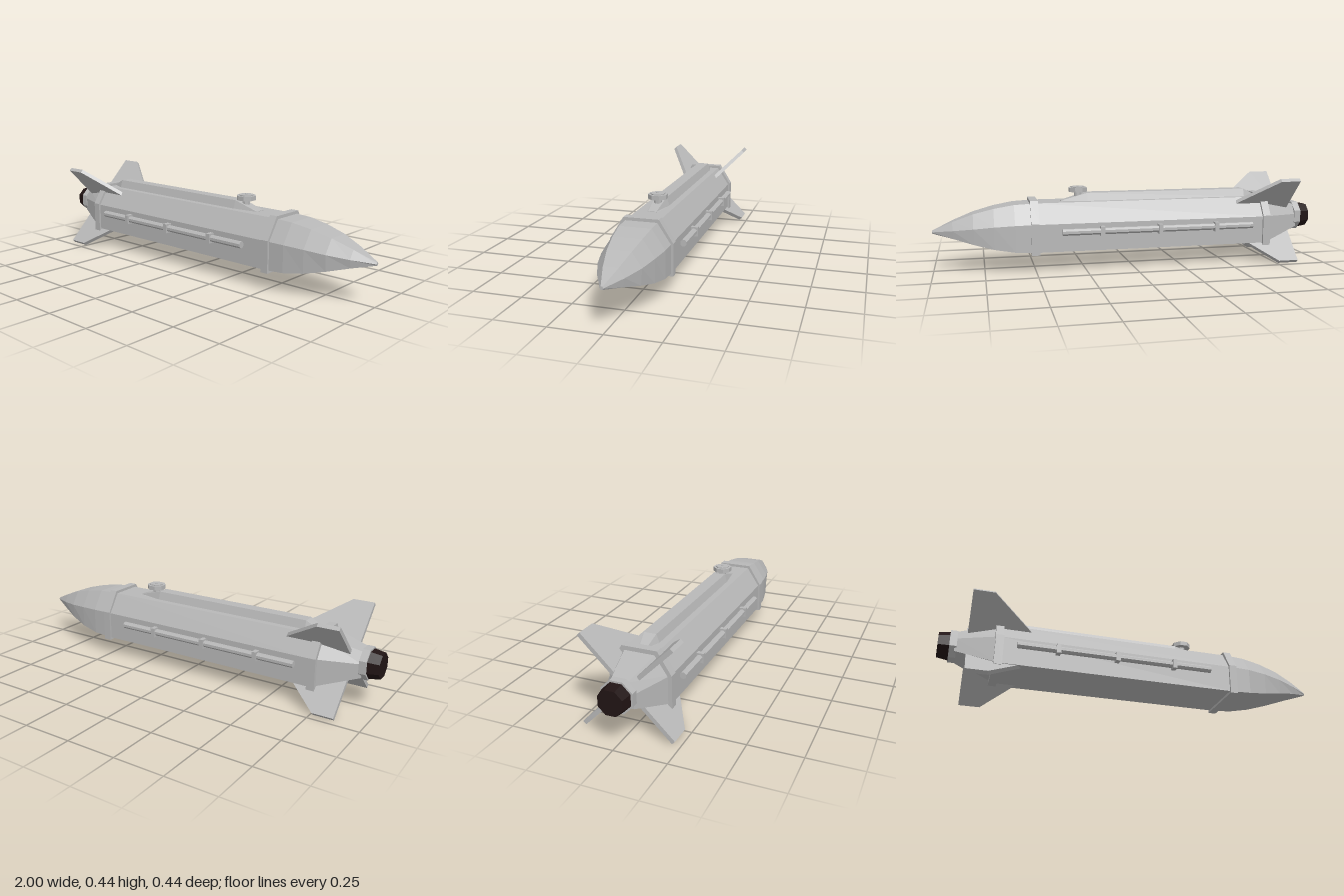
import * as THREE from 'three';

const hull = new THREE.MeshStandardMaterial({ color: 0xb8b8b8 });
hull.name = 'hull grey';
const burnt = new THREE.MeshStandardMaterial({ color: 0x211414 });
burnt.name = 'burnt nozzle';

// Mirrors a half profile of [z, y] points (bottom to top) into a closed ring
const ring = (half) => [
  ...half.map(([z, y]) => [-z, y]),
  ...[...half].reverse(),
];

// Flat-faced skin along x through sections [x, ring], capped at both ends
function loft(sections) {
  const pos = [];
  const tri = (...pts) => pts.forEach((p) => pos.push(...p));
  const rings = sections.map(([x, pts]) => pts.map(([z, y]) => [x, y, z]));
  const n = rings[0].length;
  for (let i = 0; i < rings.length - 1; i++) {
    for (let j = 0; j < n; j++) {
      const k = (j + 1) % n;
      const a = rings[i][j], b = rings[i][k], c = rings[i + 1][k], d = rings[i + 1][j];
      tri(a, b, c);
      tri(a, c, d);
    }
  }
  const first = rings[0], last = rings[rings.length - 1];
  for (let j = 1; j < n - 1; j++) {
    tri(first[0], first[j + 1], first[j]);
    tri(last[0], last[j], last[j + 1]);
  }
  const g = new THREE.BufferGeometry();
  g.setAttribute('position', new THREE.Float32BufferAttribute(pos, 3));
  g.computeVertexNormals();
  return g;
}

// Low-poly cylinder lying along x from x0 to x1
function rod(r0, r1, x0, x1, sides = 8) {
  const g = new THREE.CylinderGeometry(r1, r0, x1 - x0, sides).toNonIndexed();
  g.rotateY(Math.PI / sides);
  g.rotateZ(-Math.PI / 2);
  g.translate((x0 + x1) / 2, 0, 0);
  g.computeVertexNormals();
  return g;
}

export function createModel() {
  const model = new THREE.Group();
  const add = (name, geometry, material = hull, parent = model) => {
    const mesh = new THREE.Mesh(geometry, material);
    mesh.name = name;
    parent.add(mesh);
    return mesh;
  };

  // Six-sided fuselage
  const bodyHalf = [[0.142, 0.1], [0.142, 0.24], [0.077, 0.338]];
  const body = ring(bodyHalf);
  add('fuselage', loft([[-0.71, body], [0.5, body]]));

  // Raised bands around both ends of the fuselage
  const band = ring([[0.152, 0.088], [0.152, 0.245], [0.085, 0.352]]);
  add('frontBand', loft([[0.482, band], [0.522, band]]));
  add('rearBand', loft([[-0.735, band], [-0.695, band]]));

  // Nose cone curving to a small tip
  const noseHalf = [
    [0.5, bodyHalf],
    [0.6, [[0.139, 0.105], [0.139, 0.238], [0.076, 0.333]]],
    [0.7, [[0.122, 0.12], [0.124, 0.232], [0.068, 0.316]]],
    [0.8, [[0.094, 0.144], [0.1, 0.222], [0.055, 0.29]]],
    [0.9, [[0.053, 0.171], [0.06, 0.211], [0.034, 0.252]]],
    [1.0, [[0.004, 0.193], [0.008, 0.2], [0.004, 0.207]]],
  ];
  add('nose', loft(noseHalf.map(([x, half]) => [x, ring(half)])));

  // Tapered tail, collar and engine nozzle
  const tailEnd = ring([[0.066, 0.168], [0.066, 0.235], [0.038, 0.285]]);
  add('tail', loft([[-0.92, tailEnd], [-0.71, body]]));
  const axisY = 0.2225;
  add('collar', rod(0.08, 0.08, -0.945, -0.91)).position.y = axisY;
  add('nozzle', rod(0.062, 0.072, -1, -0.94), burnt).position.y = axisY;

  // Four swept fins in an X
  const finShape = new THREE.Shape([
    [-0.865, 0.06], [-0.535, 0.1], [-0.56, 0.13], [-0.76, 0.304], [-0.865, 0.304],
  ].map(([x, r]) => new THREE.Vector2(x, r)));
  const finGeometry = new THREE.ExtrudeGeometry(finShape, { depth: 0.02, bevelEnabled: false });
  finGeometry.translate(0, 0, -0.01);
  for (let i = 0; i < 4; i++) {
    const fin = add('fin', finGeometry);
    fin.position.y = axisY;
    fin.rotation.x = Math.PI / 4 + (i * Math.PI) / 2;
  }

  // Side rails with three clips each
  for (const side of [1, -1]) {
    const rail = new THREE.Group();
    rail.name = side > 0 ? 'leftRail' : 'rightRail';
    add('rod', rod(0.017, 0.017, -0.63, 0.37), hull, rail).position.set(0, 0.2, side * 0.157);
    for (const x of [-0.43, -0.13, 0.17]) {
      add('clip', new THREE.BoxGeometry(0.022, 0.048, 0.042), hull, rail)
        .position.set(x, 0.2, side * 0.157);
    }
    model.add(rail);
  }

  // Cable ridge along the back, sloping down at both ends
  const ridge = (base, top, y) => ring([[base, 0.325], [base, 0.338], [top, y]]);
  add('dorsalRidge', loft([
    [-0.7, ridge(0.024, 0.018, 0.34)],
    [-0.625, ridge(0.044, 0.03, 0.378)],
    [0.225, ridge(0.044, 0.03, 0.378)],
    [0.36, ridge(0.026, 0.02, 0.34)],
  ]));

  // Round cap standing on a short post
  const cap = new THREE.Group();
  cap.name = 'topCap';
  cap.position.x = 0.27;
  for (const [name, r, y0, y1] of [
    ['post', 0.02, 0.33, 0.385],
    ['disc', 0.049, 0.383, 0.405],
    ['lid', 0.036, 0.404, 0.41],
    ['button', 0.006, 0.409, 0.413],
  ]) {
    const g = new THREE.CylinderGeometry(r, r, y1 - y0, 8).toNonIndexed();
    g.rotateY(Math.PI / 8);
    g.computeVertexNormals();
    add(name, g, hull, cap).position.y = (y0 + y1) / 2;
  }
  model.add(cap);

  return model;
}
